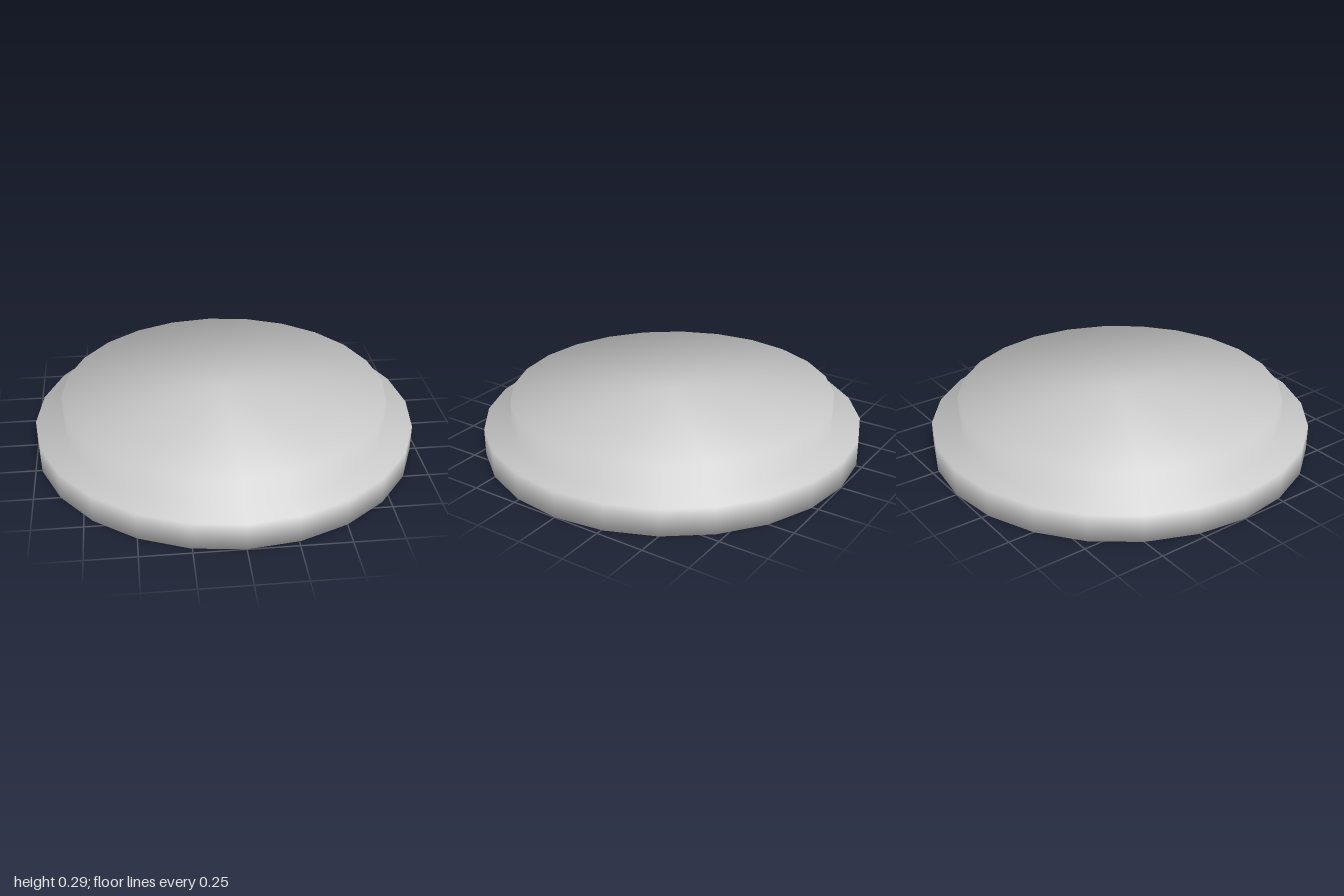
import * as THREE from 'three';

const SIDES = 24;

// Stepped disc profile: radius, height, and slope of the softened normal (outward, up)
const PROFILE = [
  [0, 0, 0, -1],
  [1, 0, 1, -1],
  [1, 0.143, 1, 1],
  [0.855, 0.143, 1, 1],
  [0.855, 0.287, 1, 1],
  [0, 0.287, 0, 1],
];

export function createModel() {
  const group = new THREE.Group();
  group.name = 'steppedDisc';

  const geometry = new THREE.LatheGeometry(
    PROFILE.map(([r, y]) => new THREE.Vector2(r, y)), SIDES);

  // Smooth shading across every edge: corner normals lean halfway between faces
  const normals = geometry.attributes.normal;
  const n = new THREE.Vector3();
  for (let i = 0; i <= SIDES; i++) {
    const a = (i / SIDES) * Math.PI * 2;
    PROFILE.forEach(([, , out, up], j) => {
      n.set(Math.sin(a) * out, up, Math.cos(a) * out).normalize();
      normals.setXYZ(i * PROFILE.length + j, n.x, n.y, n.z);
    });
  }

  const disc = new THREE.Mesh(geometry, new THREE.MeshStandardMaterial({ color: 0xcccccc }));
  disc.name = 'baseAndRaisedDisc';
  group.add(disc);
  return group;
}
